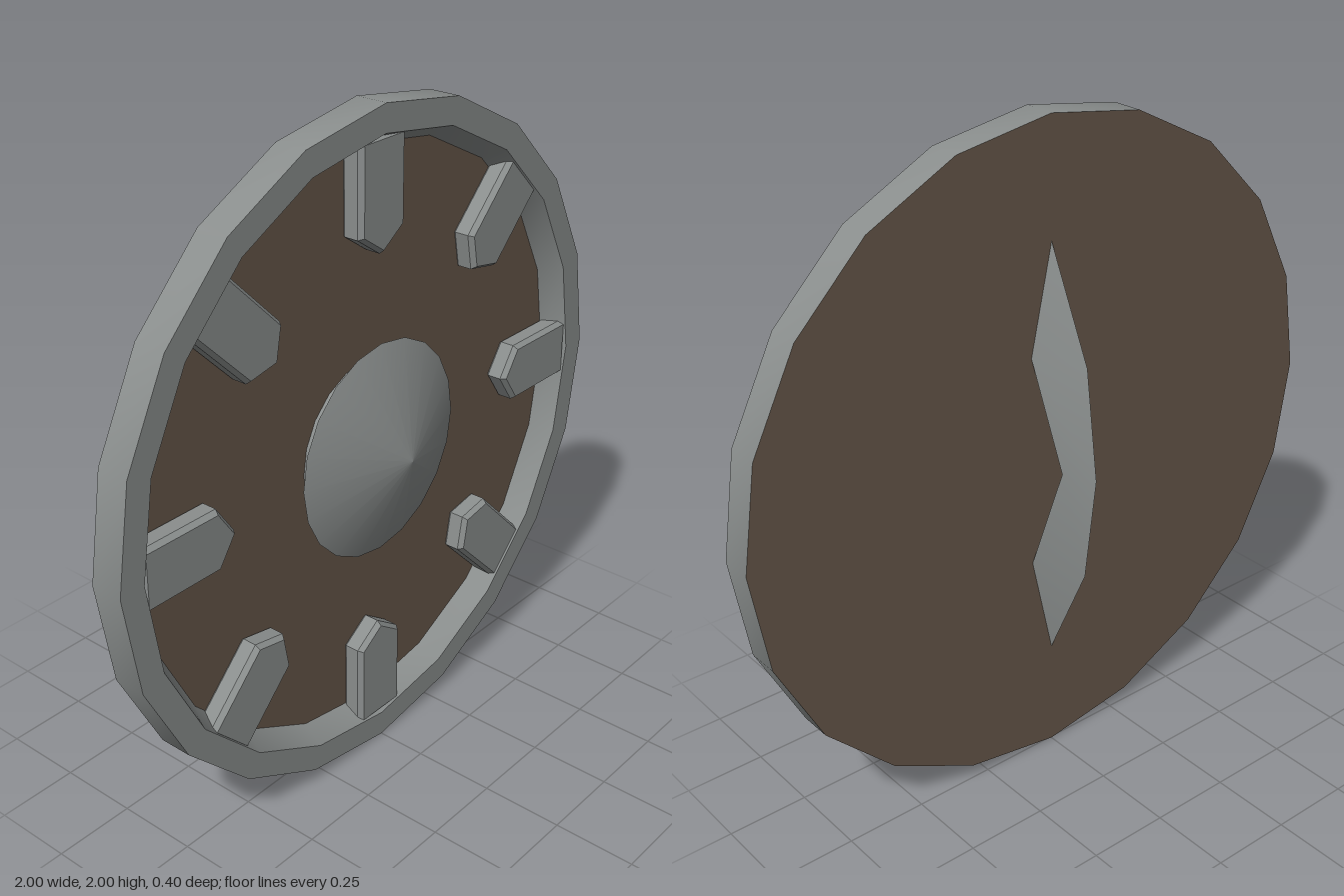
import * as THREE from 'three';
import { toCreasedNormals } from 'three/addons/utils/BufferGeometryUtils.js';

const SIDES = 20;

export function createModel() {
  const metal = new THREE.MeshStandardMaterial({ color: 0x8a8e8d });
  metal.name = 'grey metal';
  const wood = new THREE.MeshStandardMaterial({ color: 0x655649 });
  wood.name = 'brown wood';

  const model = new THREE.Group();
  model.name = 'shield';
  const body = new THREE.Group();
  body.name = 'shieldBody';
  body.position.y = 1;
  model.add(body);

  const add = (name, geometry, material) => {
    const mesh = new THREE.Mesh(geometry, material);
    mesh.name = name;
    body.add(mesh);
    return mesh;
  };

  // Revolves [radius, z] points around the z axis
  const turned = (points, crease) => {
    const g = new THREE.LatheGeometry(points.map(([r, z]) => new THREE.Vector2(r, z)), SIDES);
    g.rotateX(Math.PI / 2);
    return toCreasedNormals(g, crease);
  };

  // Rim with a sloping inner wall
  add('rim', turned([[1, -0.005], [1, 0.095], [0.92, 0.095], [0.88, 0.025]], 0.5), metal);

  // Wooden board: recessed front and full-width back
  add('boardFront', new THREE.CircleGeometry(0.885, SIDES), wood).position.z = 0.025;
  const back = add('boardBack', new THREE.CircleGeometry(1, SIDES), wood);
  back.rotation.y = Math.PI;
  back.position.z = -0.005;

  // Central boss: shallow cone on a narrower stub
  add('boss', turned([[0.26, 0.02], [0.26, 0.084], [0.327, 0.084], [0, 0.2]], 0.5), metal);

  // Eight pointed, bevelled brackets around the rim
  const outline = new THREE.Shape([
    [-0.08, 0.905], [-0.08, 0.655], [0, 0.6], [0.08, 0.655], [0.08, 0.905],
  ].map(([x, y]) => new THREE.Vector2(x, y)));
  const bracket = new THREE.ExtrudeGeometry(outline, {
    depth: 0.045, bevelEnabled: true, bevelThickness: 0.015, bevelSize: 0.011, bevelSegments: 1,
  });
  bracket.translate(0, 0, 0.03);
  for (let i = 0; i < 8; i++) {
    add('bracket', bracket, metal).rotation.z = i * Math.PI / 4;
  }

  // Back handle: triangular sections [y, inner z, ridge z, half width], pointed at both ends
  const sections = [
    [0.655, -0.004, -0.004, 0],
    [0.33, -0.004, -0.155, 0.072],
    [0, -0.105, -0.198, 0.045],
    [-0.33, -0.004, -0.155, 0.072],
    [-0.655, -0.004, -0.004, 0],
  ];
  const positions = [];
  const index = [];
  sections.forEach(([y, inner, ridge, w], s) => {
    positions.push(-w, y, inner, w, y, inner, 0, y, ridge);
    if (s === 0) return;
    for (let k = 0; k < 3; k++) {
      const a = (s - 1) * 3 + k, b = (s - 1) * 3 + (k + 1) % 3;
      const c = a + 3, d = b + 3;
      if (s > 1) index.push(a, d, b);
      if (s < sections.length - 1) index.push(a, c, d);
      else index.push(a, c, b);
      if (s === sections.length - 1) index.splice(-6, 3);
    }
  });
  const handle = new THREE.BufferGeometry();
  handle.setAttribute('position', new THREE.Float32BufferAttribute(positions, 3));
  handle.setIndex(index);
  add('handle', toCreasedNormals(handle, 0.7), metal);

  return model;
}
